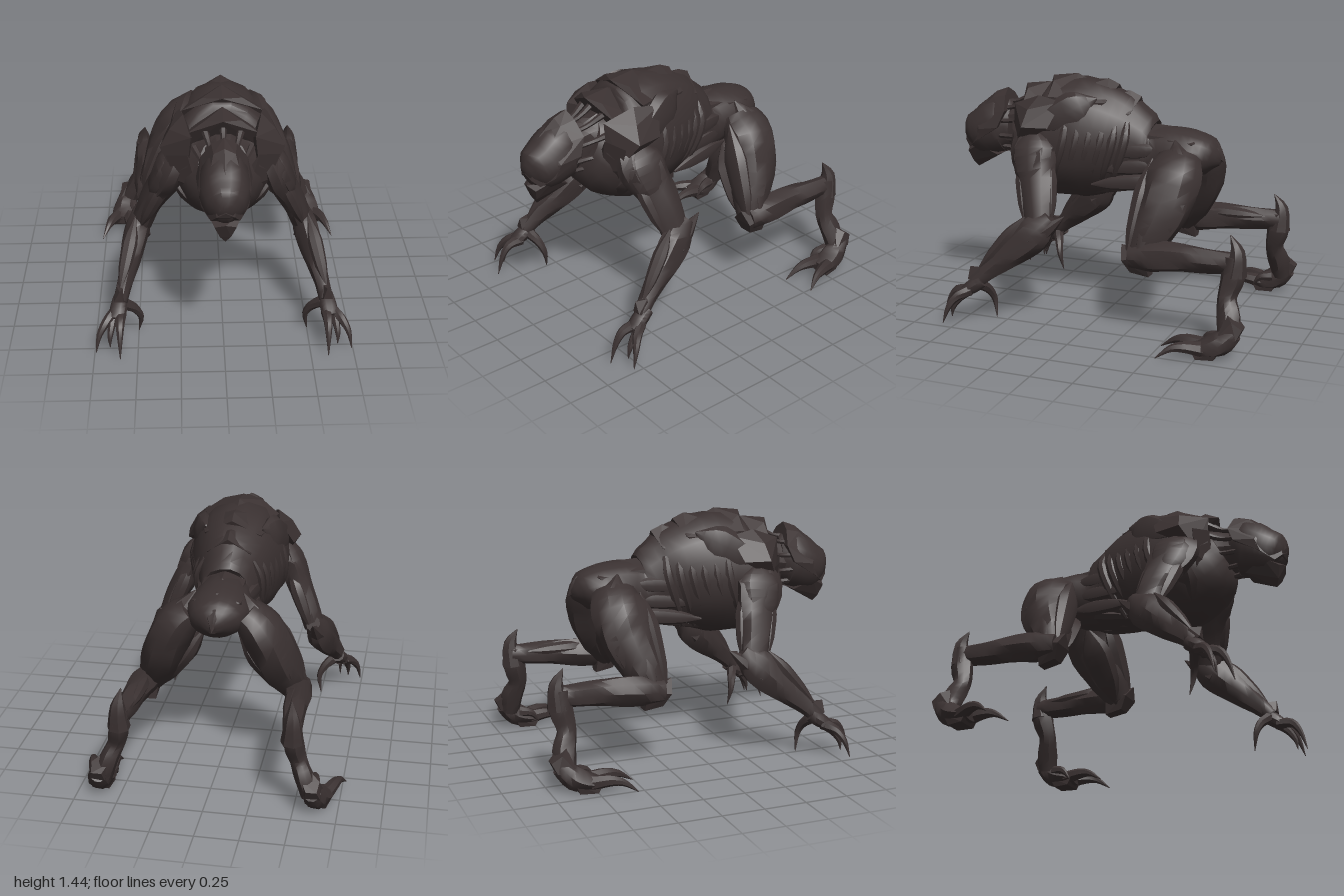
import * as THREE from 'three';
import { toCreasedNormals } from 'three/addons/utils/BufferGeometryUtils.js';
import { ConvexGeometry } from 'three/addons/geometries/ConvexGeometry.js';

const hide = new THREE.MeshStandardMaterial({ color: 0x3a3131 });
hide.name = 'dark hide';
const V = (x, y, z) => new THREE.Vector3(x, y, z);

export function createModel() {
  const root = new THREE.Group();
  root.name = 'creature';

  function add(name, geo, parent) {
    const mesh = new THREE.Mesh(geo, hide);
    mesh.name = name;
    parent.add(mesh);
    return mesh;
  }

  // Smooth loft along points [x, y, z, widthRadius, depthRadius]; s mirrors x, sinew adds lengthwise grooves
  function loft(name, pts, { s = 1, sides = 10, sub = 3, sinew = 0, parent = root } = {}) {
    const path = new THREE.CatmullRomCurve3(pts.map(p => V(p[0] * s, p[1], p[2])));
    const size = new THREE.CatmullRomCurve3(pts.map(p => V(p[3], p[4], 0)));
    const n = (pts.length - 1) * sub, pos = [], idx = [];
    for (let i = 0; i <= n; i++) {
      const c = path.getPoint(i / n), r = size.getPoint(i / n), t = path.getTangent(i / n);
      const u = V(1, 0, 0).addScaledVector(t, -t.x).normalize();
      const v = t.clone().cross(u);
      for (let j = 0; j < sides; j++) {
        const a = j / sides * Math.PI * 2;
        const k = 1 + sinew * Math.cos(5 * a + i * 0.7) * Math.sin(i / n * Math.PI);
        const p = c.clone().addScaledVector(u, Math.cos(a) * k * Math.max(r.x, 0.002))
          .addScaledVector(v, Math.sin(a) * k * Math.max(r.y, 0.002));
        pos.push(p.x, p.y, p.z);
        if (i < n) {
          const j2 = (j + 1) % sides, A = i * sides + j, B = i * sides + j2;
          idx.push(A, B, B + sides, A, B + sides, A + sides);
        }
      }
    }
    const first = pos.length / 3;
    pos.push(...path.getPoint(0).toArray(), ...path.getPoint(1).toArray());
    for (let j = 0; j < sides; j++) {
      const j2 = (j + 1) % sides;
      idx.push(first, j2, j, first + 1, n * sides + j, n * sides + j2);
    }
    const g = new THREE.BufferGeometry();
    g.setAttribute('position', new THREE.Float32BufferAttribute(pos, 3));
    g.setIndex(idx);
    return add(name, toCreasedNormals(g, 0.65), parent);
  }

  // Spindle-shaped muscle between two points
  const muscle = (name, a, b, w, d, o) => loft(name, [
    [...a, 0.006, 0.006],
    [...a.map((q, i) => q * 0.65 + b[i] * 0.35), w, d],
    [...a.map((q, i) => q * 0.3 + b[i] * 0.7), w * 0.8, d * 0.8],
    [...b, 0.006, 0.006]], { sides: 8, ...o });

  // Faceted armour plate; mirrored within itself when both is set
  function plate(name, pts, { s = 1, both = false, parent = root } = {}) {
    const list = pts.map(p => V(p[0] * s, p[1], p[2]));
    if (both) pts.forEach(p => p[0] && list.push(V(-p[0], p[1], p[2])));
    return add(name, new ConvexGeometry(list), parent);
  }

  // Tapering claw or spike
  const claw = (name, pts, r, o) => loft(name, pts.map((p, i) => {
    const k = r * (1 - i / (pts.length - 1)) ** 0.7 + 0.002;
    return [...p, k, k];
  }), { sides: 7, ...o });

  // Torso from rump to chest
  loft('torso', [
    [0, 0.99, -0.67, 0.03, 0.03], [0, 1.01, -0.6, 0.14, 0.11], [0, 1.02, -0.5, 0.18, 0.14],
    [0, 1.01, -0.38, 0.18, 0.165], [0, 0.98, -0.25, 0.165, 0.2], [0, 1.02, -0.12, 0.185, 0.27],
    [0, 1.05, 0, 0.24, 0.325], [0, 1.07, 0.2, 0.295, 0.37], [0, 1.055, 0.38, 0.3, 0.36],
    [0, 1.07, 0.5, 0.25, 0.29], [0, 1.12, 0.6, 0.14, 0.16]], { sides: 18, sinew: 0.02 });
  claw('tailStub', [[0, 1.05, -0.52], [0, 1.05, -0.62], [0, 0.98, -0.69]], 0.085);

  // Overlapping back plates, each ending in a rearward point
  [[0.48, 1.395, 0.2], [0.3, 1.455, 0.23], [0.1, 1.435, 0.21], [-0.04, 1.37, 0.16]].forEach(([z, y, w]) => {
    plate('backPlate', [[0, y - 0.02, z + 0.1], [0, y, z - 0.06], [0, y - 0.03, z - 0.13],
      [w * 0.5, y - 0.035, z + 0.05], [w, y - 0.115, z + 0.04], [w * 0.8, y - 0.12, z - 0.1],
      [w * 0.9, y - 0.2, z], [0, y - 0.14, z]], { both: true });
  });
  // Pelvis plates
  [[-0.29, 1.185, 0.12], [-0.46, 1.165, 0.14]].forEach(([z, y, w]) =>
    plate('pelvisPlate', [[0, y, z + 0.1], [0, y - 0.01, z - 0.07], [0, y - 0.06, z - 0.14], [w, y - 0.05, z + 0.08],
      [w, y - 0.06, z - 0.08], [w * 1.1, y - 0.14, z], [0, y - 0.14, z]], { both: true }));

  // Neck with stretched tendons
  loft('neck', [[0, 1.13, 0.46, 0.15, 0.17], [0, 1.11, 0.6, 0.11, 0.14], [0, 1.09, 0.76, 0.1, 0.12]], { sinew: 0.06 });
  for (let i = 0; i < 10; i++) {
    const a = i / 10 * Math.PI * 2 + Math.PI / 10, c = Math.cos(a), q = Math.sin(a);
    loft('neckTendon', [[c * 0.17, 1.13 + q * 0.2, 0.52, 0.022, 0.022],
      [c * 0.125, 1.105 + q * 0.16, 0.63, 0.014, 0.014],
      [c * 0.11, 1.1 + q * 0.145, 0.74, 0.018, 0.018]], { sides: 6 });
  }

  // Head: skull, domed shield and pointed jaw
  const head = new THREE.Group();
  head.name = 'head';
  root.add(head);
  loft('skull', [[0, 1.11, 0.67, 0.1, 0.14], [0, 1.11, 0.75, 0.14, 0.18], [0, 1.06, 0.86, 0.14, 0.155],
    [0, 1.03, 0.94, 0.11, 0.13], [0, 1.01, 0.99, 0.04, 0.06]], { sides: 14, parent: head });
  plate('headShield', [[0, 1.34, 0.71], [0.07, 1.3, 0.7], [0.13, 1.21, 0.68], [0.155, 1.11, 0.72],
    [0, 1.31, 0.79], [0.06, 1.28, 0.79], [0, 1.23, 0.89], [0.09, 1.18, 0.89], [0, 1.13, 0.98], [0.06, 1.1, 0.97],
    [0.145, 1.09, 0.85], [0.13, 1.01, 0.88], [0, 1.03, 1.0], [0.05, 1.0, 0.99], [0.08, 0.96, 0.95]],
  { both: true, parent: head });
  plate('jaw', [[0, 0.82, 0.93], [0.03, 0.86, 0.95], [0.06, 0.93, 0.97], [0, 0.95, 0.99], [0.1, 0.98, 0.88],
    [0.07, 0.92, 0.76], [0.05, 0.9, 0.85]], { both: true, parent: head });

  for (const s of [1, -1]) {
    const side = s > 0 ? 'left' : 'right';
    const trunk = new THREE.Group(), arm = new THREE.Group(), leg = new THREE.Group();
    trunk.name = side + 'Flank';
    arm.name = side + 'Arm';
    leg.name = side + 'HindLeg';
    root.add(trunk, arm, leg);
    const T = { s, parent: trunk }, A = { s, parent: arm }, L = { s, parent: leg };

    // Chest, collar, ribs and waist
    plate('shoulderPlate', [[0.355, 1.17, 0.46], [0.3, 1.27, 0.44], [0.22, 1.345, 0.4], [0.18, 1.28, 0.58],
      [0.2, 1.1, 0.58], [0.28, 1.04, 0.53], [0.33, 1.17, 0.3], [0.25, 1.32, 0.24], [0.16, 1.2, 0.4]], T);
    plate('collar', [[0.32, 1.15, 0.53], [0.2, 1.18, 0.59], [0.15, 0.97, 0.58], [0.27, 1, 0.53],
      [0.02, 0.88, 0.56], [0.02, 0.77, 0.51], [0.18, 0.86, 0.5], [0.16, 1.0, 0.48]], T);
    muscle('chestMuscle', [0.02, 0.75, 0.36], [0.3, 0.98, 0.46], 0.07, 0.11, T);
    muscle('shoulderBlade', [0.17, 1.34, 0.05], [0.29, 1.15, 0.42], 0.06, 0.11, T);
    for (let i = 0; i < 6; i++) {
      const z = 0.26 - i * 0.07, w = 0.285 - i * 0.019;
      loft('rib', [[w * 0.75, 1.28 - i * 0.015, z - 0.04, 0.015, 0.02], [w, 1.1, z - 0.04, 0.022, 0.03],
        [w * 0.92, 0.92, z + 0.02, 0.02, 0.027], [w * 0.5, 0.765, z + 0.09, 0.01, 0.014]], { ...T, sides: 7 });
    }
    for (let i = 0; i < 3; i++)
      muscle('waistMuscle', [0.13, 0.87 + i * 0.09, -0.36], [0.19, 0.82 + i * 0.1, 0.08], 0.03, 0.05, T);
    muscle('bellyMuscle', [0.05, 0.86, -0.34], [0.07, 0.74, 0.2], 0.06, 0.04, T);

    // Foreleg
    loft('upperArm', [[0.2, 1.1, 0.4, 0.08, 0.12], [0.29, 1.02, 0.41, 0.09, 0.15], [0.35, 0.9, 0.37, 0.08, 0.125],
      [0.42, 0.76, 0.33, 0.07, 0.1], [0.47, 0.62, 0.3, 0.065, 0.085]], { ...A, sinew: 0.05 });
    muscle('deltoid', [0.27, 1.16, 0.42], [0.43, 0.8, 0.37], 0.06, 0.13, A);
    muscle('biceps', [0.32, 0.98, 0.47], [0.48, 0.62, 0.38], 0.045, 0.05, A);
    muscle('triceps', [0.31, 1.0, 0.3], [0.46, 0.62, 0.23], 0.05, 0.05, A);
    loft('forearm', [[0.47, 0.67, 0.22, 0.045, 0.05], [0.5, 0.57, 0.32, 0.075, 0.11], [0.535, 0.46, 0.44, 0.065, 0.09],
      [0.575, 0.35, 0.57, 0.045, 0.06], [0.6, 0.27, 0.65, 0.042, 0.045]], { ...A, sinew: 0.06 });
    claw('elbowSpur', [[0.5, 0.54, 0.33], [0.49, 0.61, 0.23], [0.48, 0.69, 0.13]], 0.075, A);
    muscle('forearmRidge', [0.51, 0.67, 0.37], [0.6, 0.34, 0.64], 0.045, 0.04, A);
    plate('wristGuard', [[0.57, 0.35, 0.61], [0.62, 0.36, 0.62], [0.635, 0.29, 0.69], [0.58, 0.29, 0.69],
      [0.56, 0.24, 0.61], [0.63, 0.24, 0.61], [0.6, 0.36, 0.69]], A);
    loft('palm', [[0.6, 0.28, 0.61, 0.042, 0.042], [0.61, 0.24, 0.67, 0.05, 0.045], [0.62, 0.2, 0.73, 0.045, 0.03]], A);
    claw('outerFinger', [[0.63, 0.22, 0.68], [0.68, 0.19, 0.74], [0.72, 0.13, 0.78], [0.74, 0.03, 0.81]], 0.034, A);
    claw('middleFinger', [[0.6, 0.21, 0.69], [0.6, 0.2, 0.78], [0.6, 0.14, 0.83], [0.6, 0.02, 0.87]], 0.034, A);
    claw('innerFinger', [[0.64, 0.22, 0.68], [0.65, 0.17, 0.74], [0.66, 0.11, 0.78], [0.66, 0.05, 0.79]], 0.028, A);
    claw('thumb', [[0.58, 0.25, 0.64], [0.52, 0.2, 0.61], [0.485, 0.13, 0.59], [0.5, 0.02, 0.57]], 0.034, A);

    // Hind leg: thigh, shin, raised hock and foot
    loft('thigh', [[0.15, 1.02, -0.46, 0.09, 0.13], [0.25, 0.92, -0.46, 0.125, 0.165], [0.32, 0.77, -0.43, 0.125, 0.16],
      [0.385, 0.6, -0.36, 0.11, 0.125], [0.44, 0.47, -0.31, 0.07, 0.08]], { ...L, sides: 12, sinew: 0.05 });
    muscle('hipMuscle', [0.14, 1.12, -0.43], [0.35, 0.74, -0.57], 0.085, 0.09, L);
    muscle('innerThighMuscle', [0.1, 0.86, -0.38], [0.4, 0.43, -0.31], 0.06, 0.1, L);
    muscle('frontThighMuscle', [0.22, 1.02, -0.32], [0.49, 0.46, -0.26], 0.085, 0.06, L);
    muscle('outerThighMuscle', [0.32, 0.94, -0.44], [0.51, 0.5, -0.33], 0.045, 0.06, L);
    muscle('hamstring', [0.27, 0.92, -0.57], [0.43, 0.54, -0.43], 0.08, 0.06, L);
    plate('kneecap', [[0.4, 0.4, -0.28], [0.48, 0.4, -0.28], [0.4, 0.38, -0.39], [0.47, 0.38, -0.39],
      [0.38, 0.48, -0.24], [0.52, 0.48, -0.24], [0.46, 0.56, -0.22], [0.52, 0.5, -0.38], [0.38, 0.5, -0.38]], L);
    loft('shin', [[0.45, 0.49, -0.28, 0.075, 0.075], [0.46, 0.505, -0.42, 0.08, 0.09], [0.47, 0.52, -0.6, 0.065, 0.08],
      [0.48, 0.525, -0.78, 0.06, 0.068], [0.485, 0.53, -0.92, 0.05, 0.06]], { ...L, sinew: 0.07 });
    muscle('calf', [0.45, 0.55, -0.38], [0.44, 0.55, -0.84], 0.045, 0.045, L);
    claw('hockSpur', [[0.49, 0.46, -0.91], [0.49, 0.6, -0.92], [0.48, 0.69, -0.875]], 0.065, L);
    loft('hock', [[0.49, 0.57, -0.9, 0.05, 0.055], [0.495, 0.46, -0.9, 0.058, 0.07], [0.52, 0.34, -0.875, 0.05, 0.055],
      [0.56, 0.24, -0.9, 0.055, 0.068], [0.6, 0.14, -0.91, 0.06, 0.06]], { ...L, sinew: 0.06 });
    plate('heel', [[0.55, 0.24, -0.95], [0.65, 0.24, -0.94], [0.58, 0.2, -1], [0.64, 0.2, -1], [0.57, 0.14, -0.97],
      [0.66, 0.14, -0.97], [0.56, 0.14, -0.86], [0.67, 0.14, -0.86], [0.6, 0.27, -0.9]], L);
    loft('foot', [[0.61, 0.17, -0.95, 0.05, 0.05], [0.625, 0.1, -0.87, 0.075, 0.07],
      [0.635, 0.07, -0.78, 0.08, 0.05], [0.64, 0.065, -0.72, 0.06, 0.03]], { ...L, sinew: 0.06 });
    claw('innerToe', [[0.6, 0.07, -0.78], [0.595, 0.085, -0.67], [0.59, 0.075, -0.6], [0.58, 0.02, -0.51]], 0.042, L);
    claw('outerToe', [[0.67, 0.07, -0.78], [0.71, 0.085, -0.69], [0.735, 0.075, -0.62], [0.77, 0.02, -0.54]], 0.042, L);
    claw('sideToe', [[0.58, 0.12, -0.85], [0.56, 0.11, -0.78], [0.56, 0.05, -0.73]], 0.035, L);
    plate('sole', [[0.58, 0.015, -0.85], [0.68, 0.015, -0.85], [0.57, 0.015, -0.75], [0.7, 0.015, -0.75],
      [0.57, 0.08, -0.88], [0.69, 0.08, -0.88], [0.57, 0.07, -0.72], [0.7, 0.07, -0.72]], L);
  }
  return root;
}
